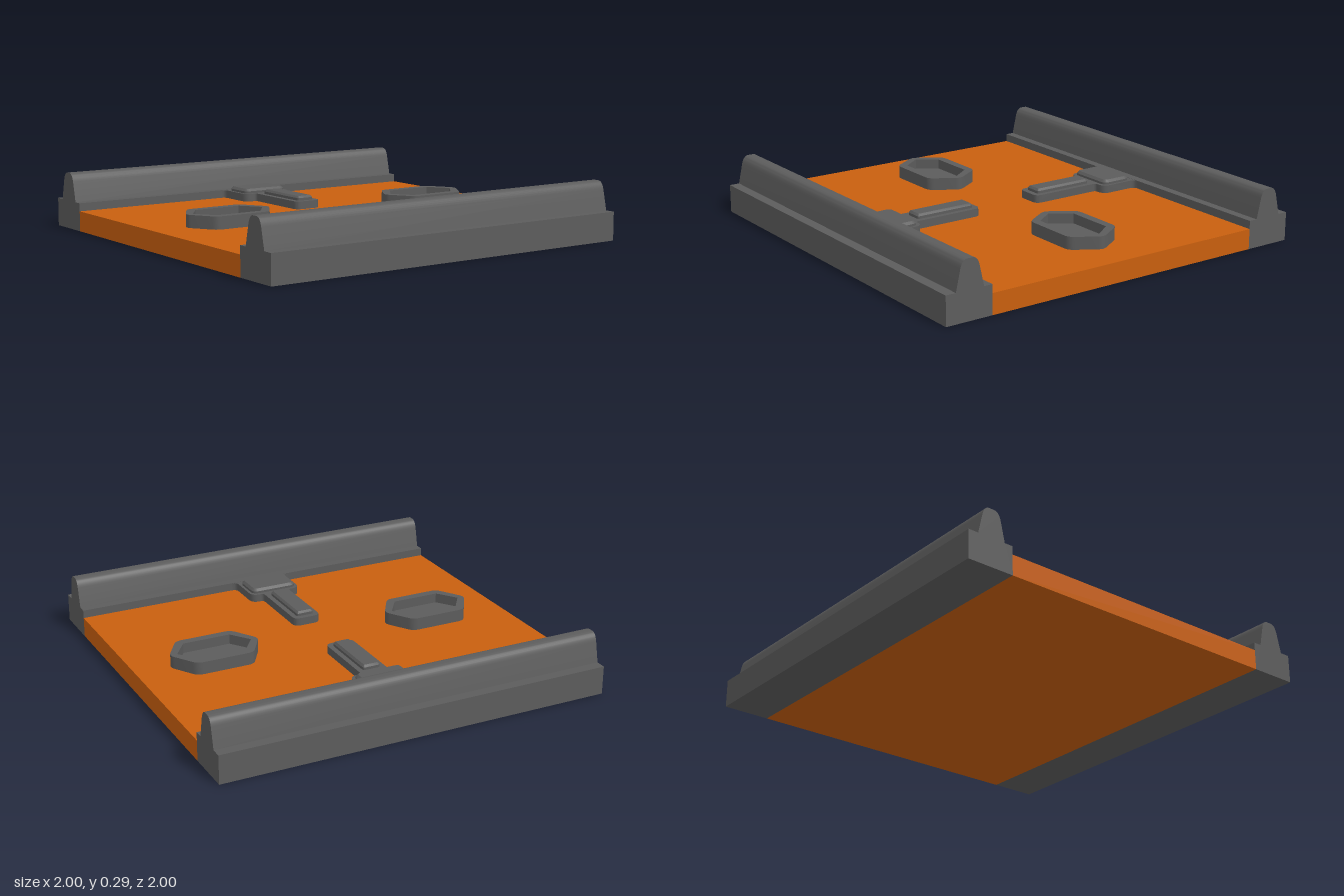
import * as THREE from 'three';
import { toCreasedNormals } from 'three/addons/utils/BufferGeometryUtils.js';

const grey = new THREE.MeshStandardMaterial({ color: 0x5c5c5c });
const orange = new THREE.MeshStandardMaterial({ color: 0xc85f0e });

// Closed outline with rounded corners; each point is [x, z, radius]
function roundedOutline(points, PathType = THREE.Shape) {
  const path = new PathType();
  points.forEach(([x, y, r = 0], i) => {
    const p = new THREE.Vector2(x, y);
    const toward = ([qx, qy]) =>
      new THREE.Vector2(qx, qy).sub(p).normalize().multiplyScalar(r).add(p);
    const a = toward(points[(i + points.length - 1) % points.length]);
    const b = toward(points[(i + 1) % points.length]);
    if (i === 0) path.moveTo(a.x, a.y);
    else path.lineTo(a.x, a.y);
    if (r > 0) path.quadraticCurveTo(p.x, p.y, b.x, b.y);
  });
  path.closePath();
  return path;
}

// Flat plate lying in the ground plane between two heights
function plate(name, shape, bottom, top, bevel = 0) {
  const geo = new THREE.ExtrudeGeometry(shape, {
    depth: top - bottom - bevel * 2, curveSegments: 6,
    bevelEnabled: bevel > 0, bevelThickness: bevel, bevelSize: bevel,
    bevelOffset: -bevel, bevelSegments: 1,
  });
  geo.rotateX(Math.PI / 2).translate(0, top - bevel, 0);
  const mesh = new THREE.Mesh(toCreasedNormals(geo, 0.5), grey);
  mesh.name = name;
  return mesh;
}

function rectangle(x0, x1, halfZ, r) {
  return roundedOutline([[x0, -halfZ, r], [x1, -halfZ, r], [x1, halfZ, r], [x0, halfZ, r]]);
}

function hexagon(w, side, tip, r, PathType) {
  return roundedOutline([
    [0, -tip, r], [w, -side, r], [w, side, r],
    [0, tip, r], [-w, side, r], [-w, -side, r],
  ], PathType);
}

// Side rail: stepped base with a round-topped ridge
function makeRail() {
  const s = new THREE.Shape();
  s.moveTo(0.758, 0);
  s.lineTo(1, 0);
  s.lineTo(1, 0.143);
  s.lineTo(0.948, 0.143);
  s.lineTo(0.925, 0.245);
  s.bezierCurveTo(0.918, 0.273, 0.905, 0.286, 0.888, 0.286);
  s.lineTo(0.862, 0.286);
  s.bezierCurveTo(0.845, 0.286, 0.832, 0.273, 0.825, 0.245);
  s.lineTo(0.802, 0.143);
  s.lineTo(0.758, 0.143);
  s.closePath();
  const geo = new THREE.ExtrudeGeometry(s, { depth: 2, bevelEnabled: false, curveSegments: 8 });
  geo.translate(0, 0, -1);
  const mesh = new THREE.Mesh(toCreasedNormals(geo, 0.5), grey);
  mesh.name = 'rail';
  return mesh;
}

// One side: rail, bracket reaching inward, and the raised pads on it
function makeSide(name) {
  const side = new THREE.Group();
  side.name = name;
  const half = [
    [0.78, 0.167], [0.758, 0.167], [0.758, 0.138, 0.03],
    [0.552, 0.138, 0.045], [0.552, 0.072, 0.018], [0.172, 0.072, 0.035],
  ];
  const mirrored = half.map(([x, z, r]) => [x, -z, r]).reverse();
  side.add(
    makeRail(),
    plate('bracket', roundedOutline([...half, ...mirrored]), 0.095, 0.142),
    plate('widePad', rectangle(0.57, 0.737, 0.124, 0.035), 0.12, 0.165, 0.012),
    plate('longPad', rectangle(0.2, 0.522, 0.046, 0.014), 0.12, 0.165, 0.01),
  );
  return side;
}

export function createModel() {
  const model = new THREE.Group();
  model.name = 'floorTile';

  // Floor slab
  const slab = new THREE.Mesh(new THREE.BoxGeometry(1.516, 0.102, 2), orange);
  slab.name = 'floorSlab';
  slab.position.y = 0.051;
  model.add(slab);

  // Matching sides
  const left = makeSide('leftSide');
  const right = makeSide('rightSide');
  right.rotation.y = Math.PI;
  model.add(left, right);

  // Hexagonal sockets with a recessed floor
  for (const z of [-0.59, 0.59]) {
    const rim = hexagon(0.143, 0.147, 0.236, 0.03);
    rim.holes.push(hexagon(0.1, 0.123, 0.195, 0, THREE.Path));
    const socket = new THREE.Group();
    socket.name = z > 0 ? 'frontSocket' : 'backSocket';
    socket.add(
      plate('socketRim', rim, 0.095, 0.165),
      plate('socketFloor', hexagon(0.11, 0.127, 0.205, 0), 0.095, 0.115),
    );
    socket.position.z = z;
    model.add(socket);
  }
  return model;
}
